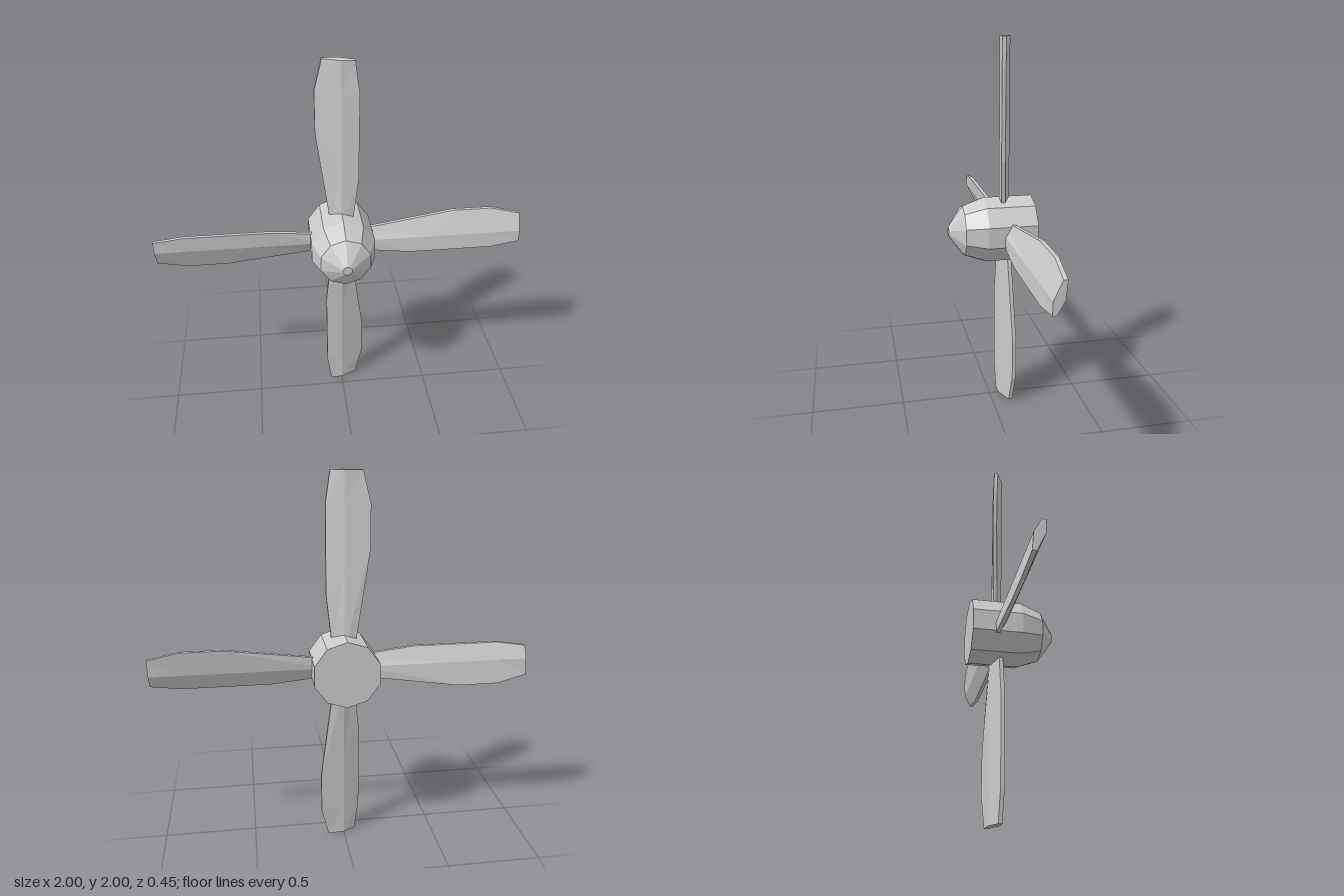
import * as THREE from 'three';

const material = new THREE.MeshStandardMaterial({ color: 0xcccccc, flatShading: true });

// Ten-sided spinner turned around the z axis
function makeHub() {
  const profile = [[0, -0.225], [0.178, -0.225], [0.178, 0.035], [0.137, 0.148], [0.025, 0.225], [0, 0.225]];
  const geometry = new THREE.LatheGeometry(profile.map(([r, z]) => new THREE.Vector2(r, z)), 10);
  geometry.rotateX(Math.PI / 2);
  const hub = new THREE.Mesh(geometry, material);
  hub.name = 'spinnerHub';
  return hub;
}

// Upward blade: three lines (wide edge, ridge, narrow edge) given as [x, y] from root to tip
function makeBladeGeometry() {
  const wideEdge = [[-0.056, 0.1], [-0.128, 0.62], [-0.128, 0.84], [-0.09, 1]];
  const ridge = [[0, 0.1], [0, 0.5], [0, 0.84], [0, 1]];
  const narrowEdge = [[0.057, 0.1], [0.088, 0.38], [0.088, 0.84], [0.065, 1]];
  // Pitched six-sided section: front side left to right, then back side right to left
  const section = [
    [wideEdge, 0.01], [ridge, 0.027], [narrowEdge, 0.01],
    [narrowEdge, -0.01], [ridge, -0.027], [wideEdge, -0.01],
  ];
  const n = section.length, stations = wideEdge.length;
  const positions = [], index = [];
  for (let k = 0; k < stations; k++) {
    for (const [line, offset] of section) {
      const [x, y] = line[k];
      positions.push(x, y, -0.078 + 0.27 * x + offset);
    }
  }
  for (let k = 0; k < stations - 1; k++) {
    for (let i = 0; i < n; i++) {
      const a = k * n + i, b = k * n + (i + 1) % n;
      index.push(a, b, b + n, a, b + n, a + n);
    }
  }
  // Flat tip
  const tip = (stations - 1) * n;
  for (let i = 1; i < n - 1; i++) index.push(tip, tip + i, tip + i + 1);

  const indexed = new THREE.BufferGeometry();
  indexed.setAttribute('position', new THREE.Float32BufferAttribute(positions, 3));
  indexed.setIndex(index);
  const geometry = indexed.toNonIndexed();
  geometry.computeVertexNormals();
  return geometry;
}

export function createModel() {
  const propeller = new THREE.Group();
  propeller.name = 'propeller';
  propeller.position.y = 1;
  propeller.add(makeHub());

  // Four equal blades around the hub
  const bladeGeometry = makeBladeGeometry();
  ['topBlade', 'rightBlade', 'bottomBlade', 'leftBlade'].forEach((name, i) => {
    const blade = new THREE.Mesh(bladeGeometry, material);
    blade.name = name;
    blade.rotation.z = i * Math.PI / 2;
    propeller.add(blade);
  });

  const model = new THREE.Group();
  model.name = 'propellerModel';
  model.add(propeller);
  return model;
}
